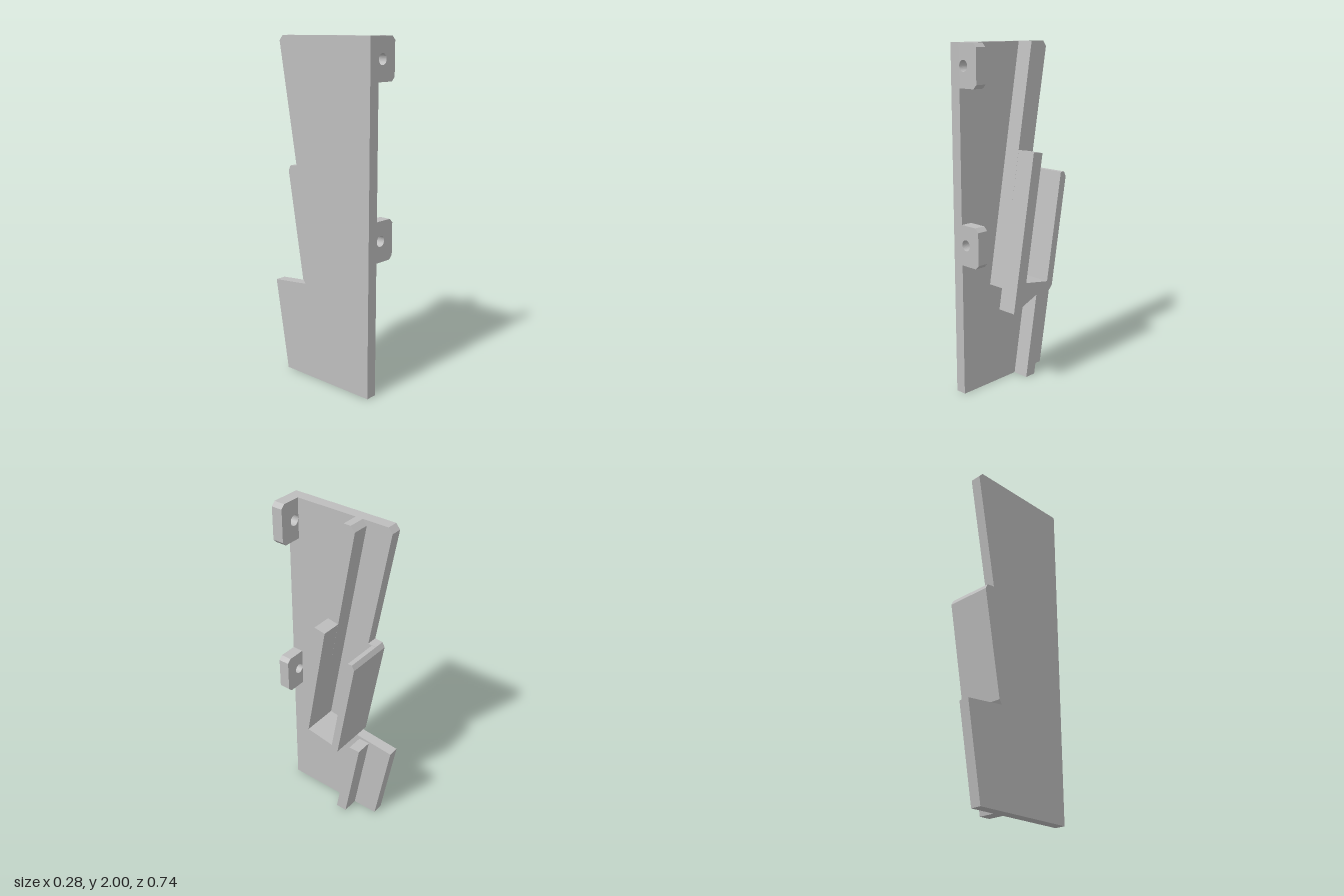
import * as THREE from 'three';

export function createModel() {
  const model = new THREE.Group();
  model.name = 'slottedBracket';
  const grey = new THREE.MeshStandardMaterial({ color: 0xbdbdbd });
  grey.name = 'light grey';

  const add = (name, geometry) => {
    const mesh = new THREE.Mesh(geometry, grey);
    mesh.name = name;
    model.add(mesh);
    return mesh;
  };

  // Side profile given as [z, y] points, extruded across x from x0 to x1
  const toVectors = (points) => points.map(([z, y]) => new THREE.Vector2(-z, y));
  const sidePart = (name, points, x0, x1, hole) => {
    const shape = new THREE.Shape(toVectors(points));
    if (hole) shape.holes.push(new THREE.Path(toVectors(hole)));
    const geometry = new THREE.ExtrudeGeometry(shape, { depth: x1 - x0, bevelEnabled: false });
    geometry.rotateY(Math.PI / 2);
    geometry.translate(x0, 0, 0);
    return add(name, geometry);
  };

  const outerX = -0.142, pocketX = -0.128, plateX = -0.076, railX = 0.024, boxX = 0.142;

  // Side plate: thin outer layer with a shallow tapered pocket, solid inner layer
  const plate = [
    [0.37, 0], [0.37, 2], [-0.28, 2], [-0.305, 1.97], [-0.18, 1.27],
    [-0.23, 1.265], [-0.245, 1.235], [-0.135, 0.6], [-0.115, 0.573],
    [-0.365, 0.547], [-0.27, 0],
  ];
  const pocket = [[0.29, 1.86], [-0.06, 1.86], [0.13, 0.755], [0.29, 0.755]];
  sidePart('sidePlateOuter', plate, outerX, pocketX, pocket);
  sidePart('sidePlateInner', plate, pocketX, plateX);

  // Shared inside and rear wall of the slanted channel
  const channelBack = [
    [0.083, 0.66], [-0.093, 0.63], [-0.203, 1.265],
    [-0.23, 1.265], [-0.245, 1.235], [-0.135, 0.6], [-0.115, 0.575],
  ];

  // Channel beside the plate, its front wall running up as the long rail
  sidePart('upperRail', [
    [0.16, 0.62], [-0.078, 2], [-0.122, 2], [-0.148, 1.97], ...channelBack,
  ], plateX, railX);

  // Outer half of the channel with its shorter front wall and pointed foot
  sidePart('outerChannel', [
    [0.182, 0.497], [0.024, 1.405], [-0.046, 1.393], ...channelBack, [-0.045, 0.586],
  ], railX, boxX);

  // Lower rail in line with the upper one
  sidePart('lowerRail', [
    [-0.042, 0], [-0.136, 0.55], [-0.206, 0.55], [-0.112, 0],
  ], plateX, railX);

  // Two mounting tabs with chamfered corners and a screw hole
  for (const [name, bottom, top, holeY] of [
    ['upperTab', 1.762, 2, 1.88], ['lowerTab', 0.782, 1.015, 0.902],
  ]) {
    const shape = new THREE.Shape([
      [plateX, bottom], [0.033, bottom], [0.056, bottom + 0.023],
      [0.056, top - 0.023], [0.033, top], [plateX, top],
    ].map(([x, y]) => new THREE.Vector2(x, y)));
    shape.holes.push(new THREE.Path().absarc(-0.044, holeY, 0.031, 0, Math.PI * 2, true));
    const geometry = new THREE.ExtrudeGeometry(shape, {
      depth: 0.067, bevelEnabled: false, curveSegments: 24,
    });
    geometry.translate(0, 0, 0.303);
    add(name, geometry);
  }
  return model;
}
